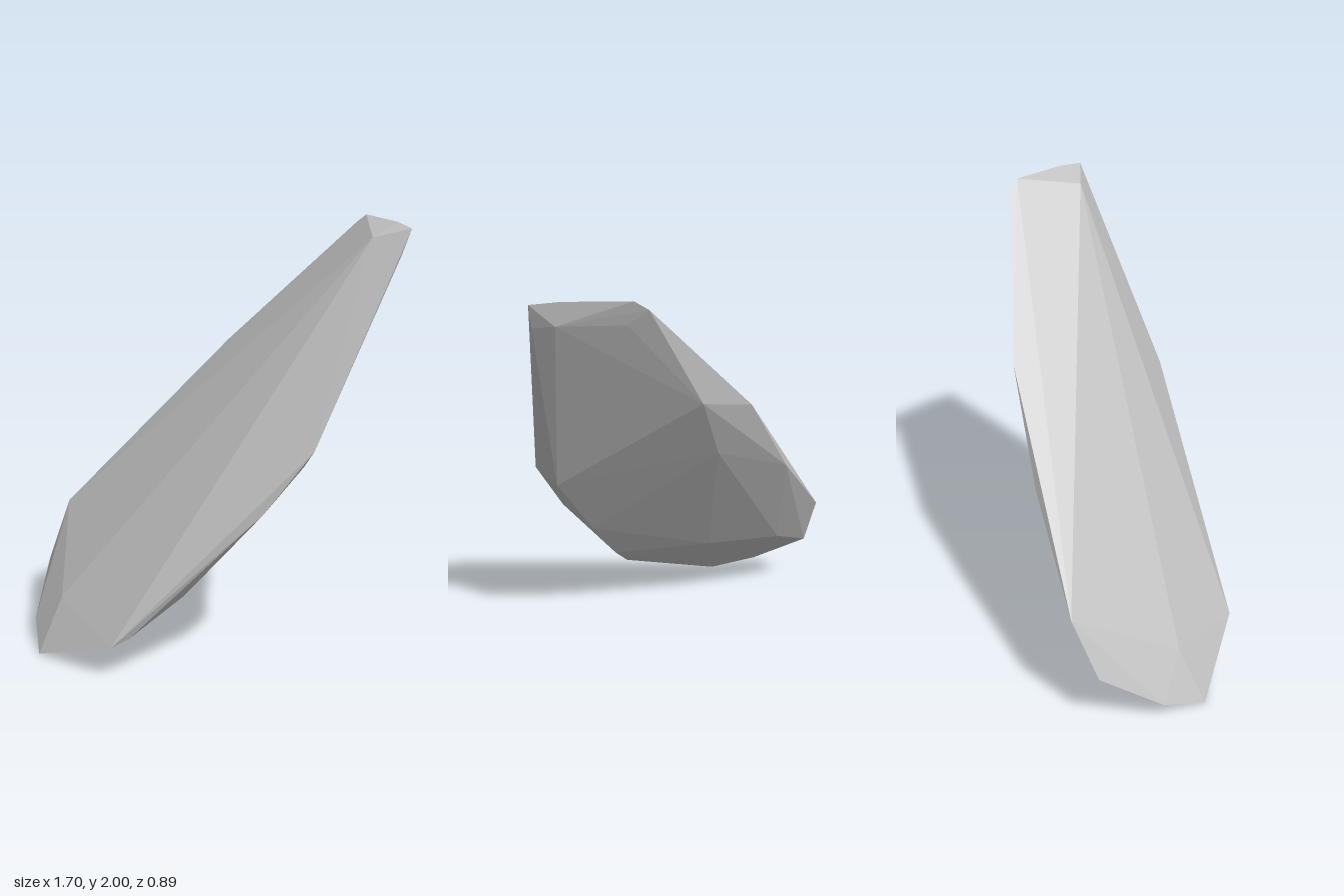
import * as THREE from 'three';
import { ConvexGeometry } from 'three/addons/geometries/ConvexGeometry.js';

// A thin, leaning flake of faceted stone: its corners, wrapped in a convex skin.
const rim = [
  [-0.80, 0, 0.16], [-0.85, 0.09, -0.06], [-0.82, 0.29, -0.35], [-0.73, 0.56, -0.44],
  [-0.30, 0.95, -0.445], [0.06, 1.385, -0.42], [0.64, 1.96, -0.235], [0.68, 2.0, -0.19],
  [0.80, 1.995, 0.06], [0.85, 1.98, 0.175], [0.45, 1.07, 0.437], [-0.43, 0.16, 0.445],
];
const upperFace = [[-0.70, 0.25, 0.07], [0.69, 1.935, 0.12], [0.48, 1.77, -0.17]];
const lowerFace = [
  [0.81, 1.87, 0.19], [0.80, 1.89, 0.09], [0.66, 1.89, -0.15], [0.33, 1.47, -0.32],
  [0.36, 1.39, -0.15], [0.09, 1.14, -0.28], [0.41, 0.98, 0.355], [0.24, 0.79, 0.435],
  [0.11, 0.62, 0.355], [-0.11, 0.38, 0.36], [-0.35, 0.2, 0.43], [-0.37, 0.40, -0.02],
  [-0.63, 0.38, -0.28], [-0.64, 0.17, 0.2], [-0.69, 0.15, 0.1],
];

export function createModel() {
  const group = new THREE.Group();
  group.name = 'stoneShard';

  const stone = new THREE.MeshStandardMaterial({ color: 0xc2c2c2 });
  stone.name = 'stoneGrey';

  const corners = [...rim, ...upperFace, ...lowerFace].map((p) => new THREE.Vector3(...p));
  const shard = new THREE.Mesh(new ConvexGeometry(corners), stone);
  shard.name = 'shard';
  group.add(shard);
  return group;
}
